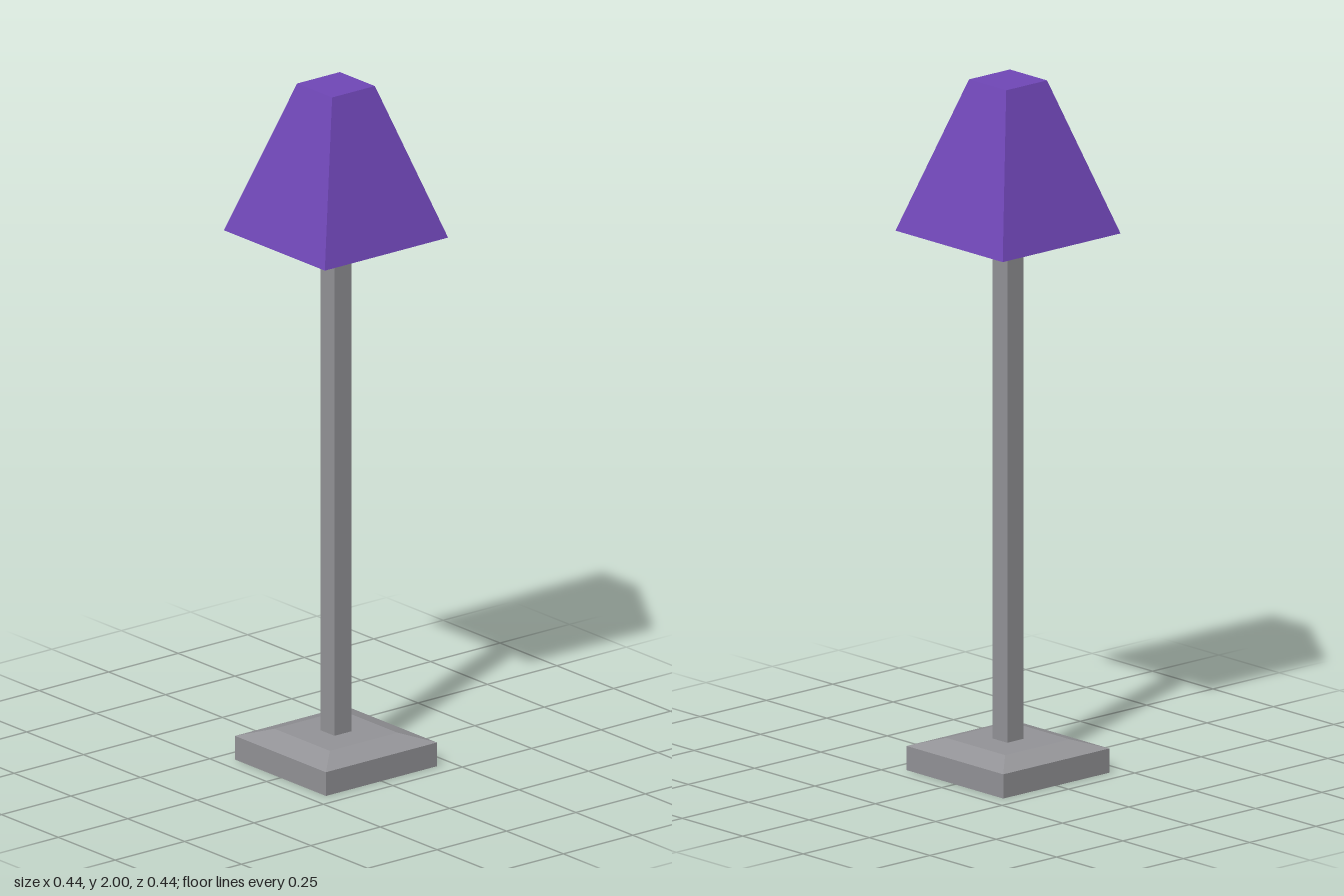
import * as THREE from 'three';

// Square solid from a profile of [half width, height] points, listed bottom to top
function squareLathe(profile) {
  const points = profile.map(([half, y]) => new THREE.Vector2(half * Math.SQRT2, y));
  const geometry = new THREE.LatheGeometry(points, 4, Math.PI / 4).toNonIndexed();
  geometry.computeVertexNormals();
  return geometry;
}

export function createModel() {
  const model = new THREE.Group();
  model.name = 'floorLamp';

  const purple = new THREE.MeshStandardMaterial({ color: 0x7047b8 });
  purple.name = 'purple shade';
  const grey = new THREE.MeshStandardMaterial({ color: 0x949498 });
  grey.name = 'grey metal';

  const add = (name, geometry, material) => {
    const mesh = new THREE.Mesh(geometry, material);
    mesh.name = name;
    model.add(mesh);
    return mesh;
  };

  // Square foot with a sloped upper edge
  add('base', squareLathe([[0, 0], [0.2, 0], [0.2, 0.07], [0.122, 0.095], [0, 0.095]]), grey);

  // Square post running up into the shade
  add('pole', new THREE.BoxGeometry(0.062, 1.56, 0.062), grey).position.y = 0.86;

  // Tapered shade with a thin rim and a shallow recess underneath
  add('shade', squareLathe([
    [0, 1.635], [0.12, 1.635], [0.204, 1.56], [0.222, 1.56], [0.077, 2], [0, 2],
  ]), purple);

  return model;
}
